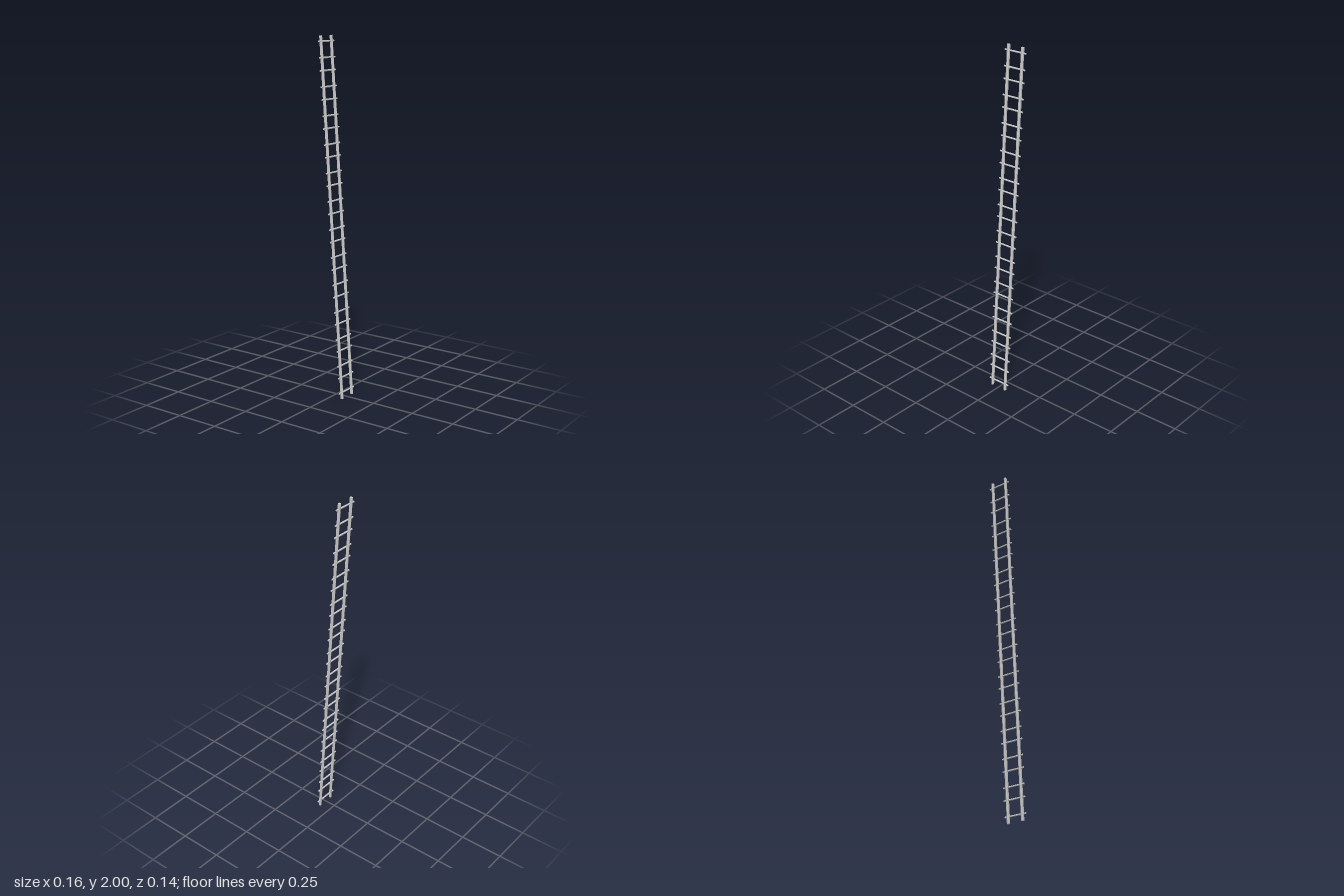
import * as THREE from 'three';

export function createModel() {
  const model = new THREE.Group();
  const ladder = new THREE.Group();
  ladder.name = 'ladder';
  const material = new THREE.MeshStandardMaterial({ color: 0xcccccc, flatShading: true });

  const lean = Math.atan(0.1415 / 2);
  const length = 2.0038;

  // Two hexagonal side rails, a ridge pointing along x
  const railGeometry = new THREE.CylinderGeometry(0.0088, 0.0088, length, 6).rotateY(Math.PI / 2);
  for (const side of [-1, 1]) {
    const rail = new THREE.Mesh(railGeometry, material);
    rail.name = side > 0 ? 'frontRail' : 'backRail';
    rail.position.z = side * 0.047;
    ladder.add(rail);
  }

  // Rungs in closely spaced pairs, poking out past both rails
  const rungGeometry = new THREE.CylinderGeometry(0.005, 0.005, 0.138, 6).rotateX(Math.PI / 2);
  for (let pair = 0; pair < 13; pair++) {
    for (const offset of [0, 0.086]) {
      const rung = new THREE.Mesh(rungGeometry, material);
      rung.name = 'rung';
      const height = 0.037 + pair * 0.1538 + offset;
      rung.position.y = (height - 1) / Math.cos(lean);
      ladder.add(rung);
    }
  }

  // Lean the whole ladder towards -x
  ladder.rotation.z = lean;
  ladder.position.y = 1;
  model.add(ladder);
  return model;
}
